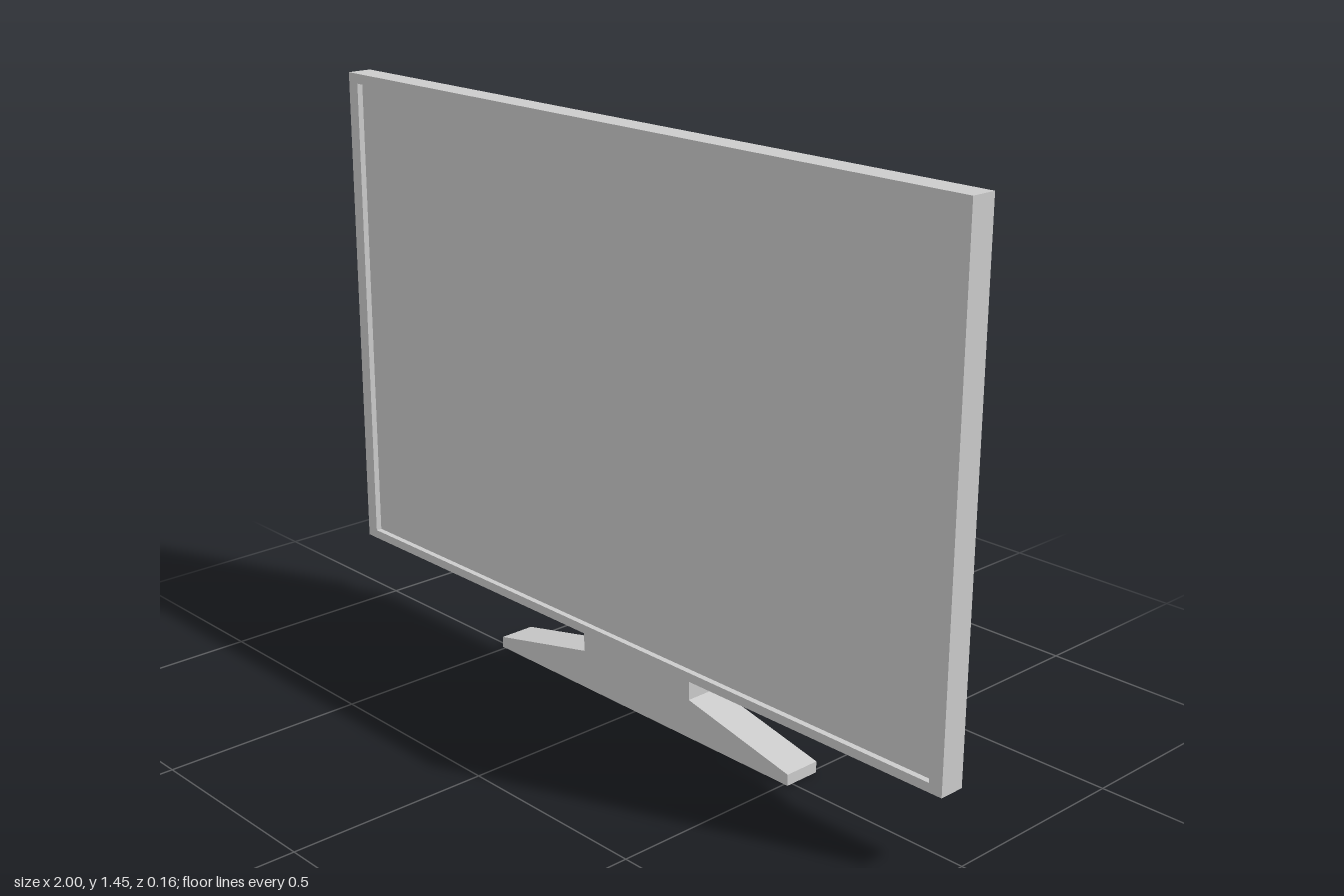
import * as THREE from 'three';

const material = new THREE.MeshStandardMaterial({ color: 0xcccccc, flatShading: true });

// Depth planes, from back to front
const BACK = -0.08, MID = 0.015, SCREEN = 0.065, FRONT = 0.08;

function addMesh(group, name, geometry) {
  const mesh = new THREE.Mesh(geometry, material);
  mesh.name = name;
  group.add(mesh);
}

function rectangle(PathType, halfWidth, bottom, top) {
  return new PathType([
    [-halfWidth, bottom], [halfWidth, bottom], [halfWidth, top], [-halfWidth, top],
  ].map(([x, y]) => new THREE.Vector2(x, y)));
}

function extrude(shape, back, front) {
  return new THREE.ExtrudeGeometry(shape, { depth: front - back, bevelEnabled: false }).translate(0, 0, back);
}

// Box whose rear rectangle is smaller than its front one
function taperedHousing(front, rear) {
  const geometry = new THREE.BoxGeometry(2, 2, 2);
  const pos = geometry.attributes.position;
  for (let i = 0; i < pos.count; i++) {
    const isFront = pos.getZ(i) > 0;
    const { halfWidth, bottom, top } = isFront ? front : rear;
    pos.setXYZ(i, pos.getX(i) * halfWidth, pos.getY(i) > 0 ? top : bottom, isFront ? MID : BACK);
  }
  geometry.computeVertexNormals();
  return geometry;
}

export function createModel() {
  const model = new THREE.Group();
  model.name = 'flatScreenMonitor';

  // Bezel around the recessed screen
  const bezel = rectangle(THREE.Shape, 1, 0.19, 1.445);
  bezel.holes.push(rectangle(THREE.Path, 0.965, 0.212, 1.42));
  addMesh(model, 'bezel', extrude(bezel, MID, FRONT));
  addMesh(model, 'screen', extrude(rectangle(THREE.Shape, 0.965, 0.212, 1.42), MID, SCREEN));

  // Sloped housing on the back
  addMesh(model, 'rearHousing', taperedHousing(
    { halfWidth: 0.88, bottom: 0.265, top: 1.37 },
    { halfWidth: 0.72, bottom: 0.36, top: 1.27 },
  ));

  // Neck and foot in one profile, running up into the housing
  const half = [[0.51, 0], [0.51, 0.028], [0.187, 0.098], [0.187, 0.36]];
  const mirrored = half.map(([x, y]) => [-x, y]).reverse();
  const stand = new THREE.Shape([...half, ...mirrored].map(([x, y]) => new THREE.Vector2(x, y)));
  addMesh(model, 'stand', extrude(stand, BACK, MID));

  return model;
}
